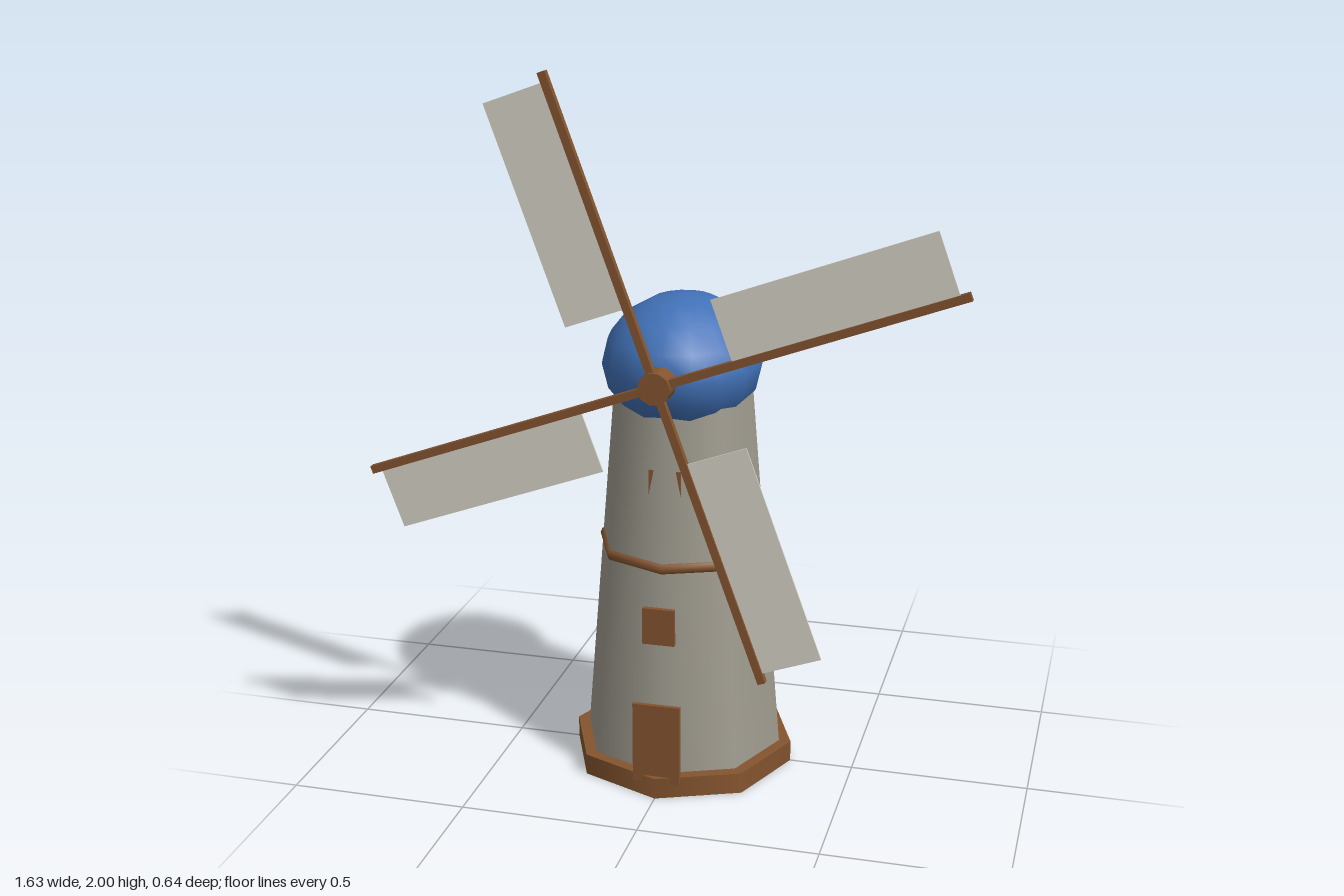
import * as THREE from 'three';

export function createModel() {
  const model = new THREE.Group();
  model.name = 'windmill';

  const material = (name, color) => {
    const m = new THREE.MeshStandardMaterial({ color });
    m.name = name;
    return m;
  };
  const stone = material('stone', 0xa09c90);
  const wood = material('wood', 0x85552f);
  const canvas = material('canvas', 0xd8d4c8);
  const blue = material('blueRoof', 0x4272b8);

  const add = (parent, name, geometry, mat, x = 0, y = 0, z = 0) => {
    const mesh = new THREE.Mesh(geometry, mat);
    mesh.name = name;
    mesh.position.set(x, y, z);
    parent.add(mesh);
    return mesh;
  };

  // Eight-sided tapering tower on a wooden base, corners on the axes
  const towerTop = 1.15, towerBottom = 0.01;
  add(model, 'tower',
    new THREE.CylinderGeometry(0.195, 0.29, towerTop - towerBottom, 8),
    stone, 0, (towerTop + towerBottom) / 2, 0);
  add(model, 'base', new THREE.CylinderGeometry(0.32, 0.32, 0.06, 8), wood, 0, 0.03, 0);

  // Rounded band around the middle
  const band = add(model, 'band', new THREE.TorusGeometry(0.227, 0.018, 8, 8), wood, 0, 0.653, 0);
  band.rotation.x = Math.PI / 2;

  // Domed cap, longer from front to back
  const cap = add(model, 'cap', new THREE.SphereGeometry(0.222, 16, 8), blue, 0, 1.185, 0);
  cap.scale.set(1, 0.84, 1.15);

  // Door and windows
  add(model, 'door', new THREE.BoxGeometry(0.134, 0.235, 0.012), wood, 0, 0.1575, 0.297);
  add(model, 'lowerWindow', new THREE.BoxGeometry(0.09, 0.105, 0.014), wood, 0, 0.498, 0.268);
  add(model, 'upperWindow', new THREE.BoxGeometry(0.09, 0.105, 0.014), wood, 0, 0.872, 0.194);

  // Sail wheel on its hub
  const wheel = new THREE.Group();
  wheel.name = 'sailWheel';
  wheel.position.set(0, 1.185, 0.288);
  wheel.rotation.z = THREE.MathUtils.degToRad(20);
  model.add(wheel);

  const hub = add(wheel, 'hub', new THREE.CylinderGeometry(0.045, 0.045, 0.075, 10), wood, 0, 0, -0.015);
  hub.rotation.x = Math.PI / 2;

  for (let i = 0; i < 4; i++) {
    const arm = new THREE.Group();
    arm.name = 'arm' + (i + 1);
    arm.rotation.z = i * Math.PI / 2;
    wheel.add(arm);
    add(arm, 'spar', new THREE.BoxGeometry(0.022, 0.863, 0.02), wood, 0, 0.4315, 0);
    add(arm, 'sail', new THREE.BoxGeometry(0.174, 0.615, 0.005), canvas, -0.093, 0.529, 0);
  }

  return model;
}
